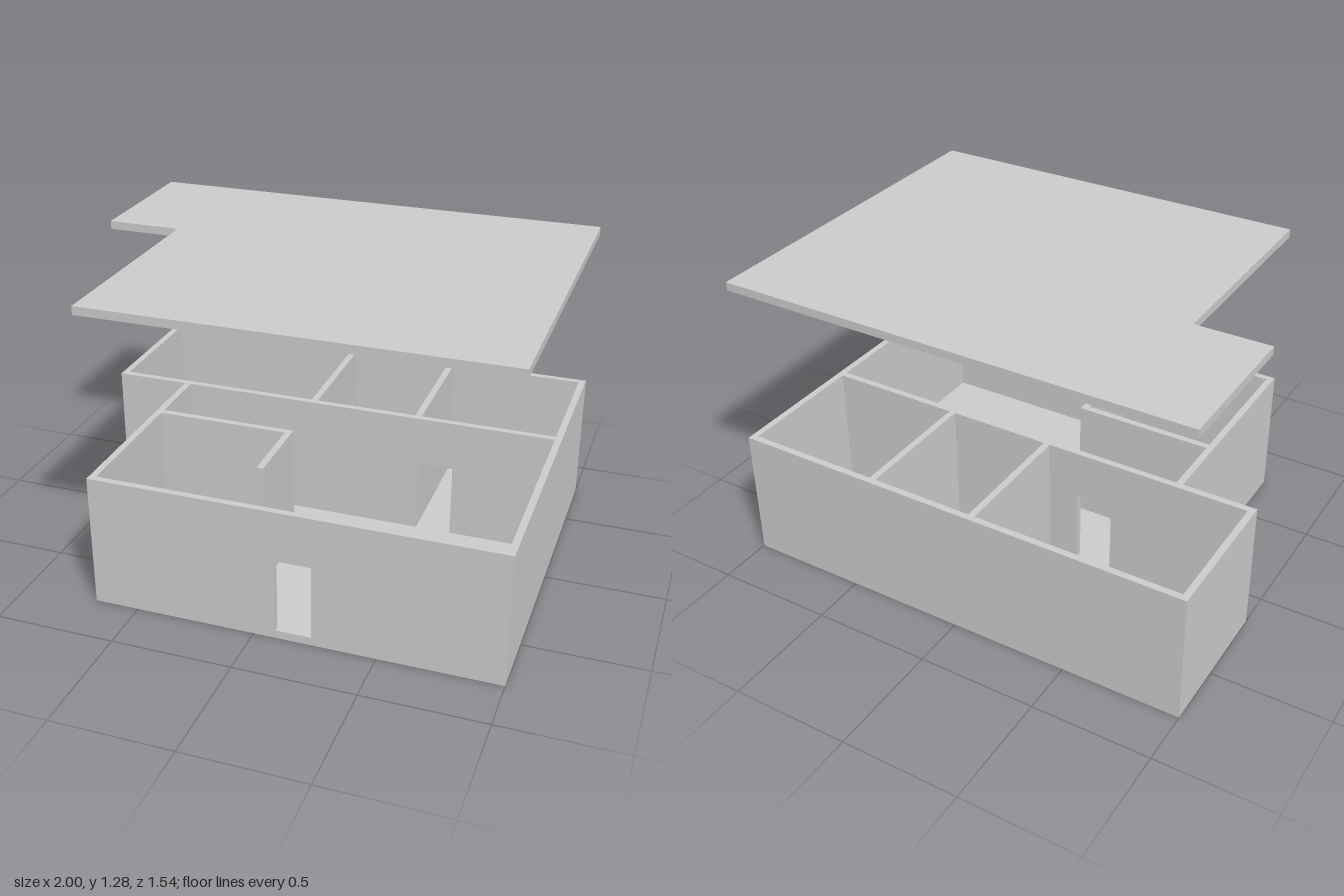
import * as THREE from 'three';

const material = new THREE.MeshStandardMaterial({ color: 0xcccccc, flatShading: true });

const FLOOR = 0.035;      // slab thickness
const TOP = 0.565;        // top of walls
const DOOR = 0.352;       // top of doorways
const T = 0.028;          // wall thickness
const X0 = -1, X1 = 1, Z0 = -0.77, Z1 = 0.77;
const NX = -0.685, NZ = -0.155;   // inner corner of the L-shaped plan

export function createModel() {
  const model = new THREE.Group();

  const add = (name, geometry, parent = model) => {
    const mesh = new THREE.Mesh(geometry, material);
    mesh.name = name;
    parent.add(mesh);
    return mesh;
  };

  // L-shaped slab lying between y and y + FLOOR
  const slab = (name, y) => {
    const plan = [[X0, Z0], [X1, Z0], [X1, Z1], [NX, Z1], [NX, NZ], [X0, NZ]];
    const shape = new THREE.Shape(plan.map(([x, z]) => new THREE.Vector2(x, -z)));
    const geometry = new THREE.ExtrudeGeometry(shape, { depth: FLOOR, bevelEnabled: false });
    geometry.rotateX(-Math.PI / 2);
    add(name, geometry).position.y = y;
  };
  slab('floor', 0);
  slab('liftedRoof', 1.25);

  const walls = new THREE.Group();
  walls.name = 'walls';
  model.add(walls);

  // Wall elevation from a to b, with doorways cut up from the floor
  const elevation = (a, b, doors) => {
    const s = new THREE.Shape();
    s.moveTo(a, FLOOR);
    for (const [d0, d1] of doors) {
      s.lineTo(d0, FLOOR);
      s.lineTo(d0, DOOR);
      s.lineTo(d1, DOOR);
      s.lineTo(d1, FLOOR);
    }
    s.lineTo(b, FLOOR);
    s.lineTo(b, TOP);
    s.lineTo(a, TOP);
    return new THREE.ExtrudeGeometry(s, { depth: T, bevelEnabled: false });
  };

  // Wall running along x, its back face at z
  const wallX = (name, x0, x1, z, doors = []) => {
    add(name, elevation(x0, x1, doors), walls).position.z = z;
  };

  // Wall running along z, its right face at x
  const wallZ = (name, z0, z1, x, doors = []) => {
    const flipped = doors.map(([a, b]) => [-b, -a]);
    const geometry = elevation(-z1, -z0, flipped);
    geometry.rotateY(Math.PI / 2);
    add(name, geometry, walls).position.x = x;
  };

  // Outer walls
  wallX('backWall', X0, X1, Z0);
  wallX('frontWall', NX, X1, Z1 - T, [[0.09, 0.24]]);
  wallZ('leftWall', Z0 + T, Z1 - T, X1 - T);
  wallZ('rightBackWall', Z0 + T, NZ - T, X0);
  wallZ('rightFrontWall', NZ, Z1 - T, NX);

  // Long wall dividing front from back, also closing the recess
  wallX('dividingWall', X0, X1 - T, NZ - T, [[-0.385, -0.228], [0.4, 0.55]]);

  // Partitions of the back rooms
  wallZ('backPartitionRight', Z0 + T, NZ - T, -0.067 - T, [[-0.7, -0.545]]);
  wallZ('backPartitionLeft', Z0 + T, NZ - T, 0.4 - T);

  // Corner room at the front, open beside the front wall
  wallX('frontRoomWall', NX + T, -0.067, 0.15 - T);
  wallZ('frontRoomReturn', 0.15, 0.47, -0.067 - T);

  return model;
}
